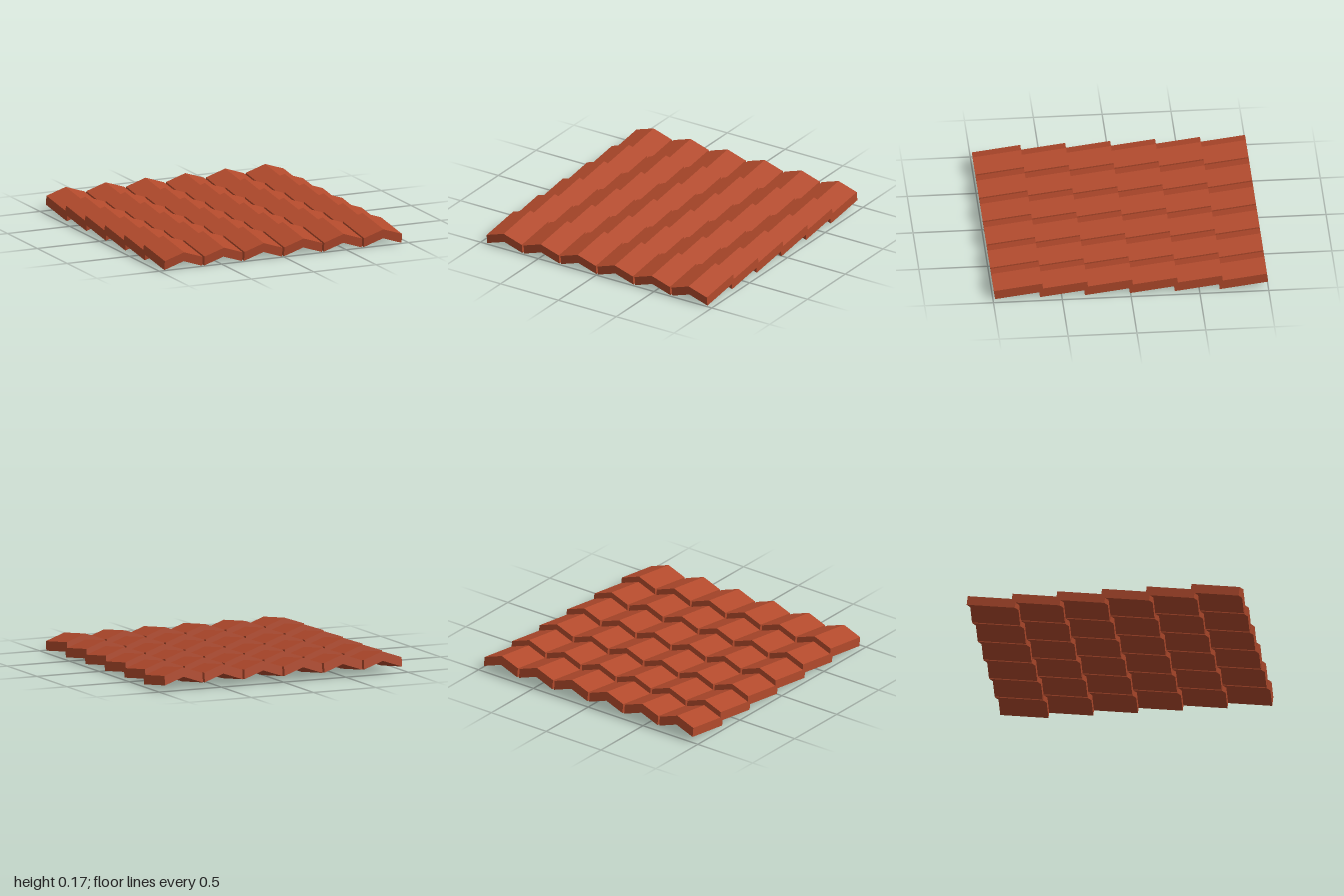
import * as THREE from 'three';

const COLUMNS = 6, ROWS = 6;
const WIDTH = 0.304, PITCH_X = 0.32;    // tile width and column spacing
const LENGTH = 0.355, PITCH_Z = 0.3265; // tile length and row spacing
const THICK = 0.069, RISE = 0.052;      // slab thickness and ridge rise
const TILT = 0.128;

// Chevron cross-section extruded along z, with its front lower edge at the origin
function tileGeometry() {
  const h = WIDTH / 2;
  const section = new THREE.Shape([
    new THREE.Vector2(-h, 0),
    new THREE.Vector2(0, RISE),
    new THREE.Vector2(h, 0),
    new THREE.Vector2(h, THICK),
    new THREE.Vector2(0, THICK + RISE),
    new THREE.Vector2(-h, THICK),
  ]);
  const geometry = new THREE.ExtrudeGeometry(section, { depth: LENGTH, bevelEnabled: false });
  return geometry.translate(0, 0, -LENGTH).rotateX(TILT);
}

export function createModel() {
  const roof = new THREE.Group();
  roof.name = 'roofTiles';
  const clay = new THREE.MeshStandardMaterial({ color: 0xb24a2c, flatShading: true });
  const geometry = tileGeometry();
  // The top of the front ridge leans forward to z = 1
  const frontZ = 1 - (THICK + RISE) * Math.sin(TILT);

  // Overlapping rows of tiles, stepping from front to back
  for (let r = 0; r < ROWS; r++) {
    const row = new THREE.Group();
    row.name = `tileRow${r + 1}`;
    row.position.z = frontZ - r * PITCH_Z;
    for (let c = 0; c < COLUMNS; c++) {
      const tile = new THREE.Mesh(geometry, clay);
      tile.name = `tile${r + 1}_${c + 1}`;
      tile.position.x = (c - (COLUMNS - 1) / 2) * PITCH_X;
      row.add(tile);
    }
    roof.add(row);
  }
  return roof;
}
